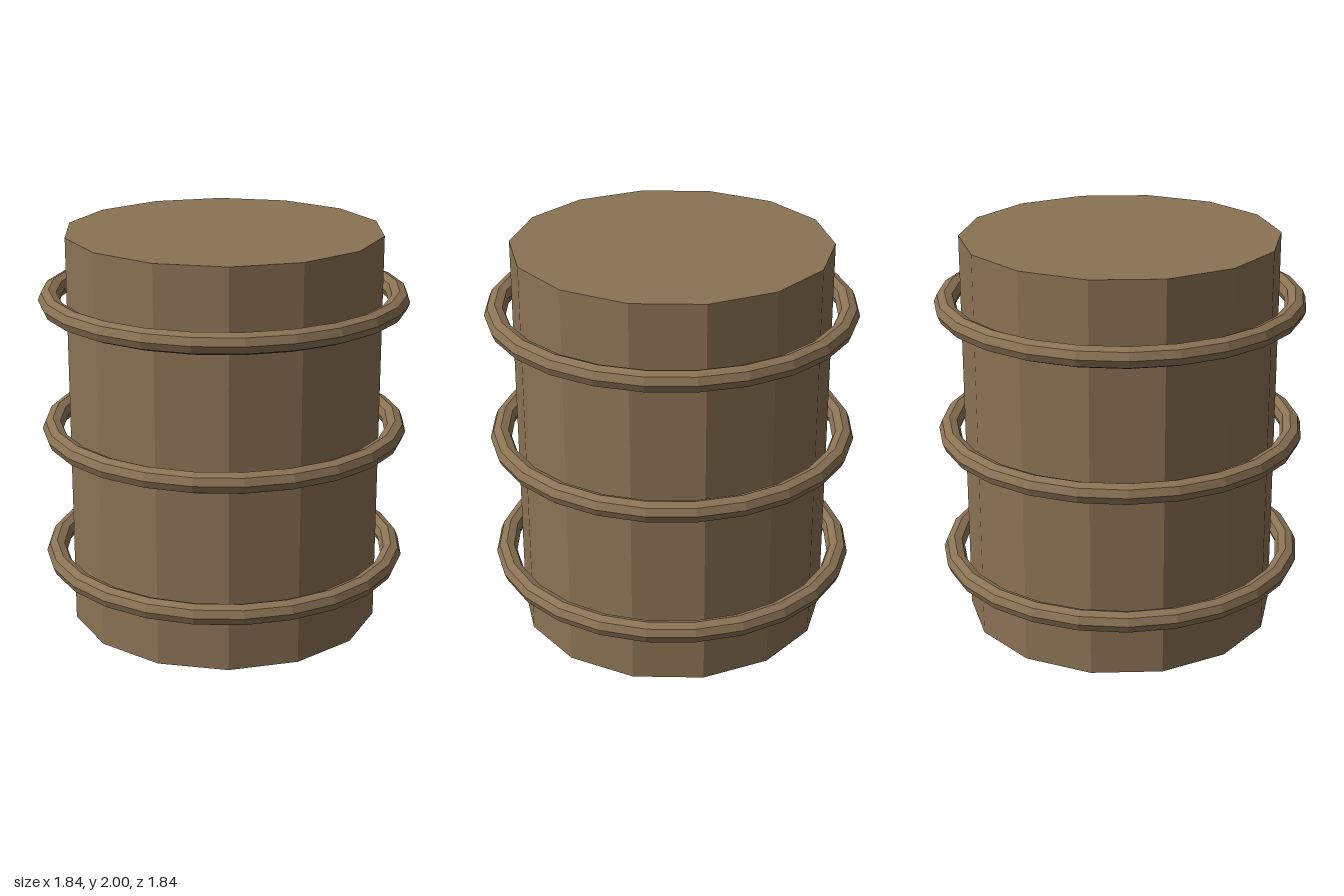
import * as THREE from 'three';

export function createModel() {
  const model = new THREE.Group();
  model.name = 'barrel';
  const brown = new THREE.MeshStandardMaterial({ color: 0x8b7355, flatShading: true });

  // Straight fourteen-sided body with closed ends
  const body = new THREE.Mesh(new THREE.CylinderGeometry(0.789, 0.789, 2, 14), brown);
  body.name = 'body';
  body.position.y = 1;
  model.add(body);

  // Three loose hoops around the body
  const hoopGeometry = new THREE.TorusGeometry(0.868, 0.053, 8, 24).rotateX(Math.PI / 2);
  ['lowerHoop', 'middleHoop', 'upperHoop'].forEach((name, i) => {
    const hoop = new THREE.Mesh(hoopGeometry, brown);
    hoop.name = name;
    hoop.position.y = 1 + (i - 1) * 0.667;
    model.add(hoop);
  });

  return model;
}
